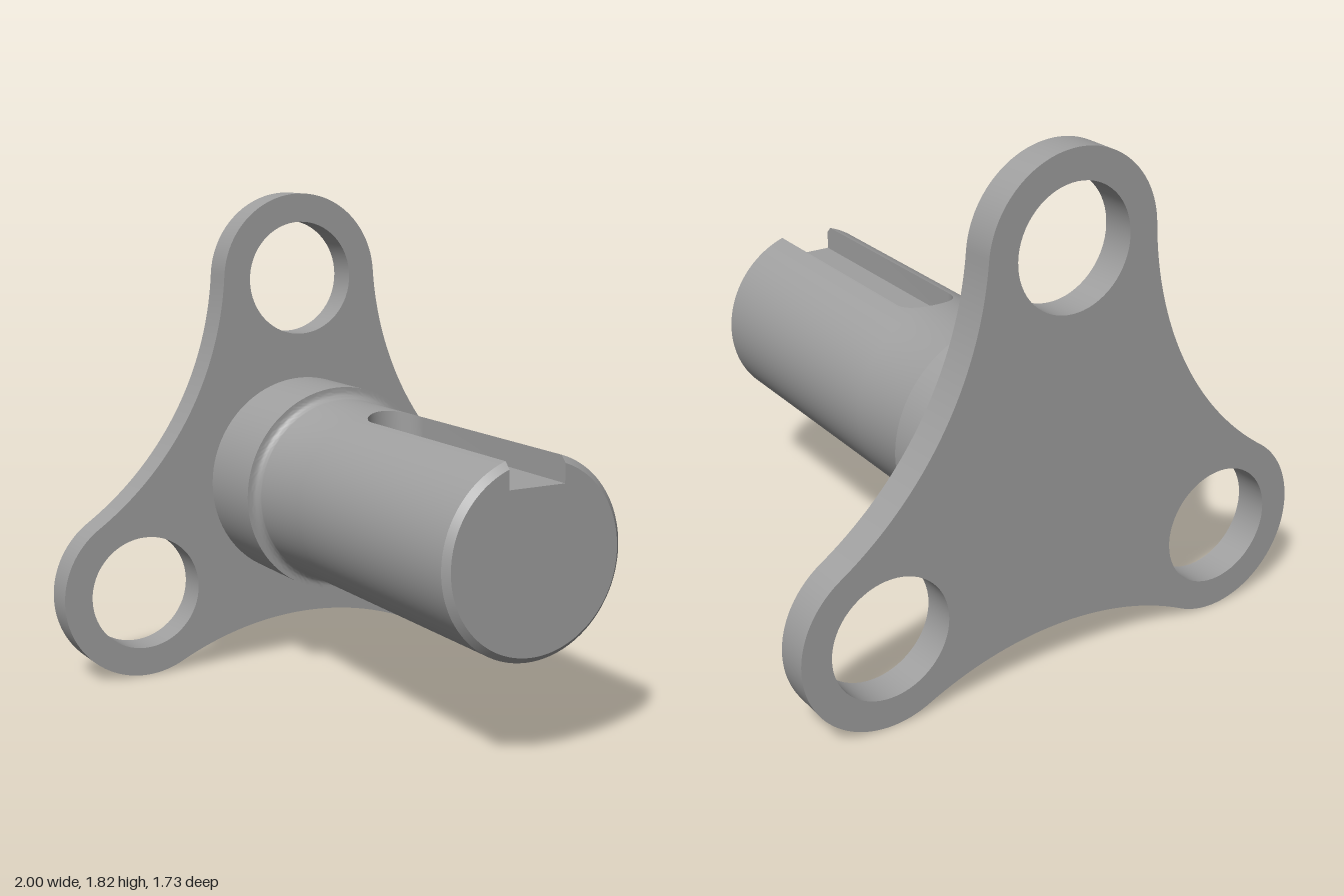
import * as THREE from 'three';
import { toCreasedNormals } from 'three/addons/utils/BufferGeometryUtils.js';

const AXIS_Y = 0.715;            // height of the shaft axis
const BACK = -0.863, PLATE_FRONT = -0.741, FRONT = 0.863;
const SHAFT_R = 0.345, COLLAR_R = 0.39, CHAMFER = 0.022;
const KEY_W = 0.108, KEY_FLOOR = 0.238;   // keyway half width, floor above the axis
const SIDES = 192;

// Three-lobed plate: convex lobes joined by tangent concave arcs
function plateGeometry() {
  const lobeDist = 0.7795, lobeR = 0.325, holeR = 0.217, waistDist = 1.762;
  const dx = lobeDist * Math.sin(Math.PI / 3), dy = waistDist - lobeDist / 2;
  const waistR = Math.hypot(dx, dy) - lobeR, half = Math.atan2(dx, dy);
  const span = Math.PI / 3 + half;
  const shape = new THREE.Shape();
  for (let k = 0; k < 3; k++) {
    const t = Math.PI / 2 + k * 2 * Math.PI / 3;
    const x = lobeDist * Math.cos(t), y = lobeDist * Math.sin(t);
    shape.absarc(x, y, lobeR, t - span, t + span, false);
    const w = t + Math.PI / 3;
    shape.absarc(waistDist * Math.cos(w), waistDist * Math.sin(w), waistR,
      w + Math.PI + half, w + Math.PI - half, true);
    shape.holes.push(new THREE.Path().absarc(x, y, holeR, 0, Math.PI * 2, true));
  }
  const geo = new THREE.ExtrudeGeometry(shape, {
    depth: PLATE_FRONT - BACK, bevelEnabled: false, curveSegments: 32,
  });
  geo.translate(0, 0, BACK);
  return toCreasedNormals(geo, 0.5);
}

// Collar, fillet and the plain rear stretch of the shaft
function collarGeometry() {
  const filletR = 0.033, z0 = -0.433;
  const pts = [[COLLAR_R, PLATE_FRONT - 0.01], [COLLAR_R, z0]];
  for (let i = 0; i <= 8; i++) {
    const a = i / 8 * Math.PI / 2;
    pts.push([SHAFT_R + filletR * (1 - Math.sin(a)), z0 + filletR * (1 - Math.cos(a))]);
  }
  pts.push([SHAFT_R, -KEY_W]);
  const geo = new THREE.LatheGeometry(pts.map(p => new THREE.Vector2(...p)), SIDES);
  geo.rotateX(Math.PI / 2);
  return toCreasedNormals(geo, 0.5);
}

// Shaft cross-section with a slot of half width w cut in its top;
// points that would fall inside the slot gather at its edge
function slottedSection(r, w) {
  const a = Math.asin(w / r), pts = [];
  for (let i = 0; i <= SIDES; i++) {
    const t = THREE.MathUtils.clamp(2 * Math.PI * i / SIDES, a, 2 * Math.PI - a);
    pts.push(new THREE.Vector2(r * Math.sin(t), r * Math.cos(t)));
  }
  pts.push(new THREE.Vector2(-w, KEY_FLOOR), new THREE.Vector2(w, KEY_FLOOR));
  return pts;
}

// Sections lofted along z; the slot widens in a semicircle, then runs out of the end
function keyedShaftGeometry() {
  const rings = [];
  for (let i = 0; i <= 12; i++) {
    const a = i / 12 * Math.PI / 2;
    rings.push({ z: -KEY_W * Math.cos(a), pts: slottedSection(SHAFT_R, KEY_W * Math.sin(a)) });
  }
  rings.push({ z: FRONT - CHAMFER, pts: slottedSection(SHAFT_R, KEY_W) });
  rings.push({ z: FRONT, pts: slottedSection(SHAFT_R - CHAMFER, KEY_W) });
  const pos = [], idx = [], m = rings[0].pts.length;
  for (const ring of rings) for (const p of ring.pts) pos.push(p.x, p.y, ring.z);
  for (let i = 0; i < rings.length - 1; i++) {
    for (let j = 0; j < m; j++) {
      const p0 = i * m + j, p1 = i * m + (j + 1) % m;
      idx.push(p0, p0 + m, p1, p1, p0 + m, p1 + m);
    }
  }
  const geo = new THREE.BufferGeometry();
  geo.setAttribute('position', new THREE.Float32BufferAttribute(pos, 3));
  geo.setIndex(idx);
  return toCreasedNormals(geo, 0.5);
}

export function createModel() {
  const group = new THREE.Group();
  const material = new THREE.MeshStandardMaterial({ color: 0x9f9f9f });
  const add = (name, geometry) => {
    const mesh = new THREE.Mesh(geometry, material);
    mesh.name = name;
    mesh.position.y = AXIS_Y;
    group.add(mesh);
  };
  add('mountingPlate', plateGeometry());
  add('collar', collarGeometry());
  add('keyedShaft', keyedShaftGeometry());
  // Flat front end of the shaft, notched by the keyway
  const end = new THREE.ShapeGeometry(new THREE.Shape(slottedSection(SHAFT_R - CHAMFER, KEY_W)));
  end.translate(0, 0, FRONT);
  add('shaftEnd', end);
  return group;
}
